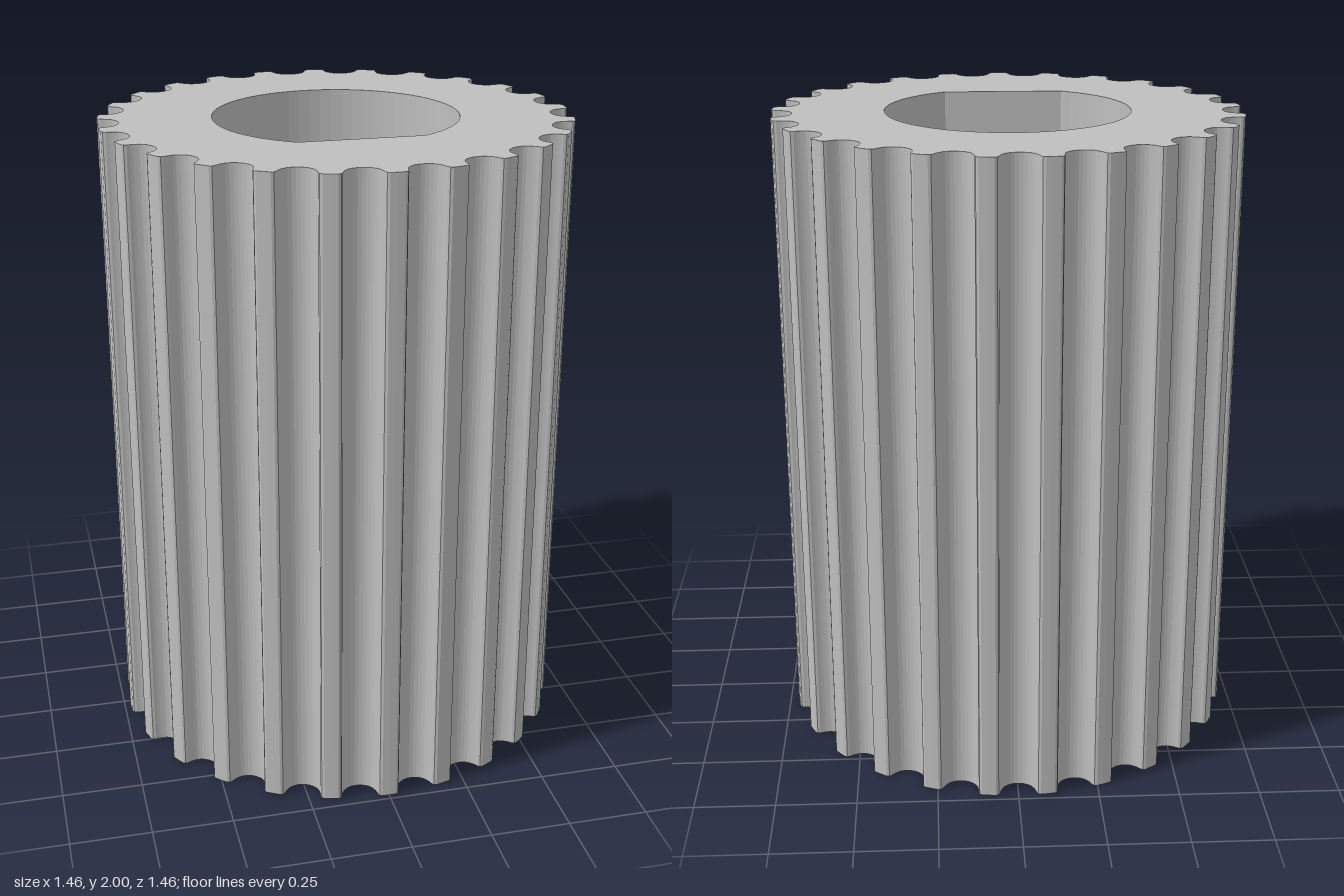
import * as THREE from 'three';

const TEETH = 25, R = 0.7315, HEIGHT = 2;
const BORE_R = 0.382, BORE_FLAT = 0.331;

// Half of one groove: [half width, depth below the tooth tips], mouth to root
const GROOVE = [
  [0.0700, 0], [0.0617, 0.0031], [0.0570, 0.0109], [0.0551, 0.0200], [0.0521, 0.0287],
  [0.0480, 0.0371], [0.0430, 0.0452], [0.0341, 0.0533], [0.0236, 0.0592], [0.0121, 0.0628], [0, 0.0640],
];

function toothedOutline() {
  const mouth = Math.sqrt(R * R - GROOVE[0][0] ** 2);
  const mirrored = GROOVE.slice(0, -1).reverse().map(([w, d]) => [-w, d]);
  const profile = [...GROOVE, ...mirrored];
  const halfMouth = Math.asin(GROOVE[0][0] / R);
  const pitch = Math.PI * 2 / TEETH;
  const points = [];
  for (let i = 0; i < TEETH; i++) {
    const a = Math.PI / 2 + i * pitch;
    const c = Math.cos(a), s = Math.sin(a);
    // groove, from its right lip to its left lip
    for (const [w, d] of profile) {
      const r = mouth - d;
      points.push(new THREE.Vector2(r * c + w * s, r * s - w * c));
    }
    // middle of the tooth tip
    const tip = a + halfMouth + (pitch - 2 * halfMouth) / 2;
    points.push(new THREE.Vector2(R * Math.cos(tip), R * Math.sin(tip)));
  }
  return points;
}

// Round bore closed by a flat on the front side
function boreOutline(segments = 56) {
  const start = -Math.asin(BORE_FLAT / BORE_R);
  const sweep = Math.PI - 2 * start;
  const points = [];
  for (let i = 0; i <= segments; i++) {
    const a = start + sweep * i / segments;
    points.push(new THREE.Vector2(BORE_R * Math.cos(a), BORE_R * Math.sin(a)));
  }
  return points;
}

export function createModel() {
  const group = new THREE.Group();
  group.name = 'timingPulley';

  const metal = new THREE.MeshStandardMaterial({ color: 0xbfbfbf });
  metal.name = 'plain grey';

  const shape = new THREE.Shape(toothedOutline());
  shape.holes.push(new THREE.Path(boreOutline()));
  const geometry = new THREE.ExtrudeGeometry(shape, { depth: HEIGHT, bevelEnabled: false });
  geometry.rotateX(-Math.PI / 2);

  const body = new THREE.Mesh(geometry, metal);
  body.name = 'toothedBody';
  group.add(body);
  return group;
}
